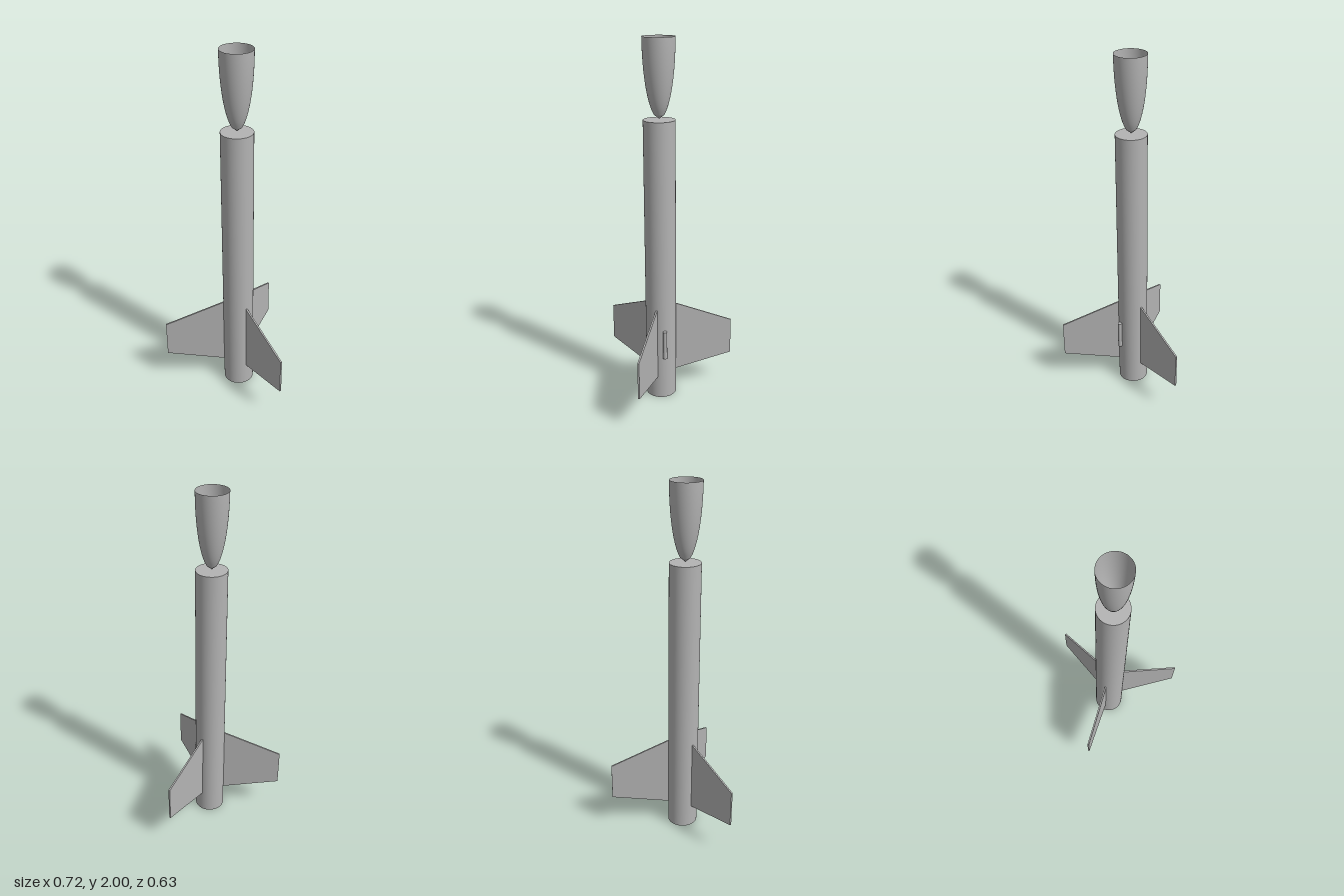
import * as THREE from 'three';

const R = 0.0845, AXIS_Z = 0.1;

export function createModel() {
  const grey = new THREE.MeshStandardMaterial({ color: 0xb3b3b3, side: THREE.DoubleSide });
  grey.name = 'grey';
  const model = new THREE.Group();
  model.name = 'rocket';
  const rocket = new THREE.Group();
  rocket.name = 'rocketParts';
  rocket.position.z = AXIS_Z;
  model.add(rocket);

  const add = (name, geometry, x = 0, y = 0) => {
    const mesh = new THREE.Mesh(geometry, grey);
    mesh.name = name;
    mesh.position.set(x, y, 0);
    rocket.add(mesh);
    return mesh;
  };

  // Body tube with closed ends
  add('bodyTube', new THREE.CylinderGeometry(R, R, 1.585, 64), 0, 0.7925);

  // Hollow elliptical nose, point down and open at the top
  const noseBase = 2, noseLength = 0.41, steps = 20;
  const profile = [];
  for (let i = 0; i <= steps; i++) {
    const t = 1 - i / steps;
    profile.push(new THREE.Vector2(R * Math.sqrt(1 - t * t), noseBase - noseLength * t));
  }
  add('noseShell', new THREE.LatheGeometry(profile.slice(1), 64));
  add('noseTip', new THREE.LatheGeometry(profile.slice(0, 2), 64));

  // Three swept fins, 120 degrees apart
  const thickness = 0.009;
  const outline = new THREE.Shape([
    new THREE.Vector2(R - 0.002, 0.13),
    new THREE.Vector2(0.415, 0.19),
    new THREE.Vector2(0.415, 0.4),
    new THREE.Vector2(R - 0.002, 0.545),
  ]);
  const finGeometry = new THREE.ExtrudeGeometry(outline, { depth: thickness, bevelEnabled: false });
  finGeometry.translate(0, 0, -thickness / 2);
  ['backFin', 'rightFin', 'leftFin'].forEach((name, i) => {
    add(name, finGeometry).rotation.y = Math.PI / 2 + i * Math.PI * 2 / 3;
  });

  // Launch lug on the left side
  add('launchLug', new THREE.CylinderGeometry(0.012, 0.012, 0.165, 24), 0.094, 0.3375);

  return model;
}
